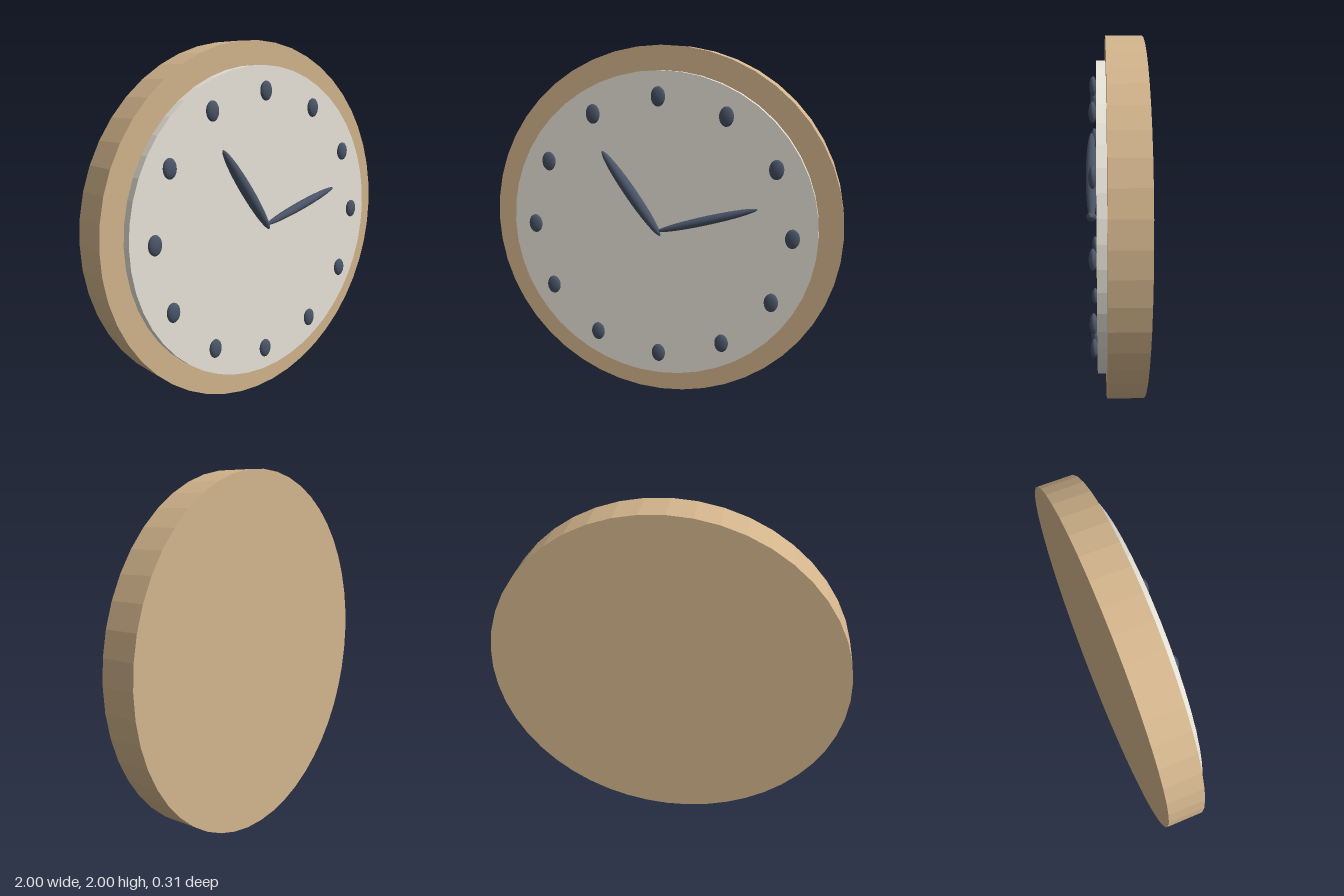
import * as THREE from 'three';

const WOOD = new THREE.MeshStandardMaterial({ color: 0xd2b48c, flatShading: true });
const DIAL = new THREE.MeshStandardMaterial({ color: 0xe9e4d9, flatShading: true });
const DARK = new THREE.MeshStandardMaterial({ color: 0x4a5568 });

// Flat disc facing +z, spanning z0 to z1
function disc(name, radius, z0, z1, material) {
  const geometry = new THREE.CylinderGeometry(radius, radius, z1 - z0, 48);
  geometry.rotateX(Math.PI / 2);
  const mesh = new THREE.Mesh(geometry, material);
  mesh.name = name;
  mesh.position.set(0, 1, (z0 + z1) / 2);
  return mesh;
}

// Stretched sphere with half-sizes rx, ry, rz
function ellipsoid(name, rx, ry, rz, x, y, z) {
  const geometry = new THREE.SphereGeometry(1, 28, 20);
  geometry.scale(rx, ry, rz);
  const mesh = new THREE.Mesh(geometry, DARK);
  mesh.name = name;
  mesh.position.set(x, y, z);
  return mesh;
}

// Tapered hand running between two points on the dial
function hand(name, x0, y0, x1, y1, width, depth, z) {
  const half = Math.hypot(x1 - x0, y1 - y0) / 2;
  const mesh = ellipsoid(name, half, width, depth, (x0 + x1) / 2, (y0 + y1) / 2, z);
  mesh.rotation.z = Math.atan2(y1 - y0, x1 - x0);
  return mesh;
}

export function createModel() {
  const clock = new THREE.Group();
  clock.name = 'wallClock';

  // Wooden body and raised dial
  clock.add(disc('woodenBody', 1, -0.155, 0.04, WOOD));
  clock.add(disc('dial', 0.87, 0.03, 0.088, DIAL));

  // Twelve upright hour markers
  const markers = new THREE.Group();
  markers.name = 'hourMarkers';
  for (let i = 0; i < 12; i++) {
    const a = (i / 12) * Math.PI * 2;
    markers.add(ellipsoid('hourMarker', 0.039, 0.053, 0.02,
      0.735 * Math.sin(a), 1 + 0.735 * Math.cos(a), 0.106));
  }
  clock.add(markers);

  // Hands
  clock.add(hand('hourHand', 0.015, 0.975, -0.315, 1.437, 0.033, 0.034, 0.12));
  clock.add(hand('minuteHand', -0.005, 1.0, 0.547, 1.154, 0.025, 0.026, 0.117));

  return clock;
}
